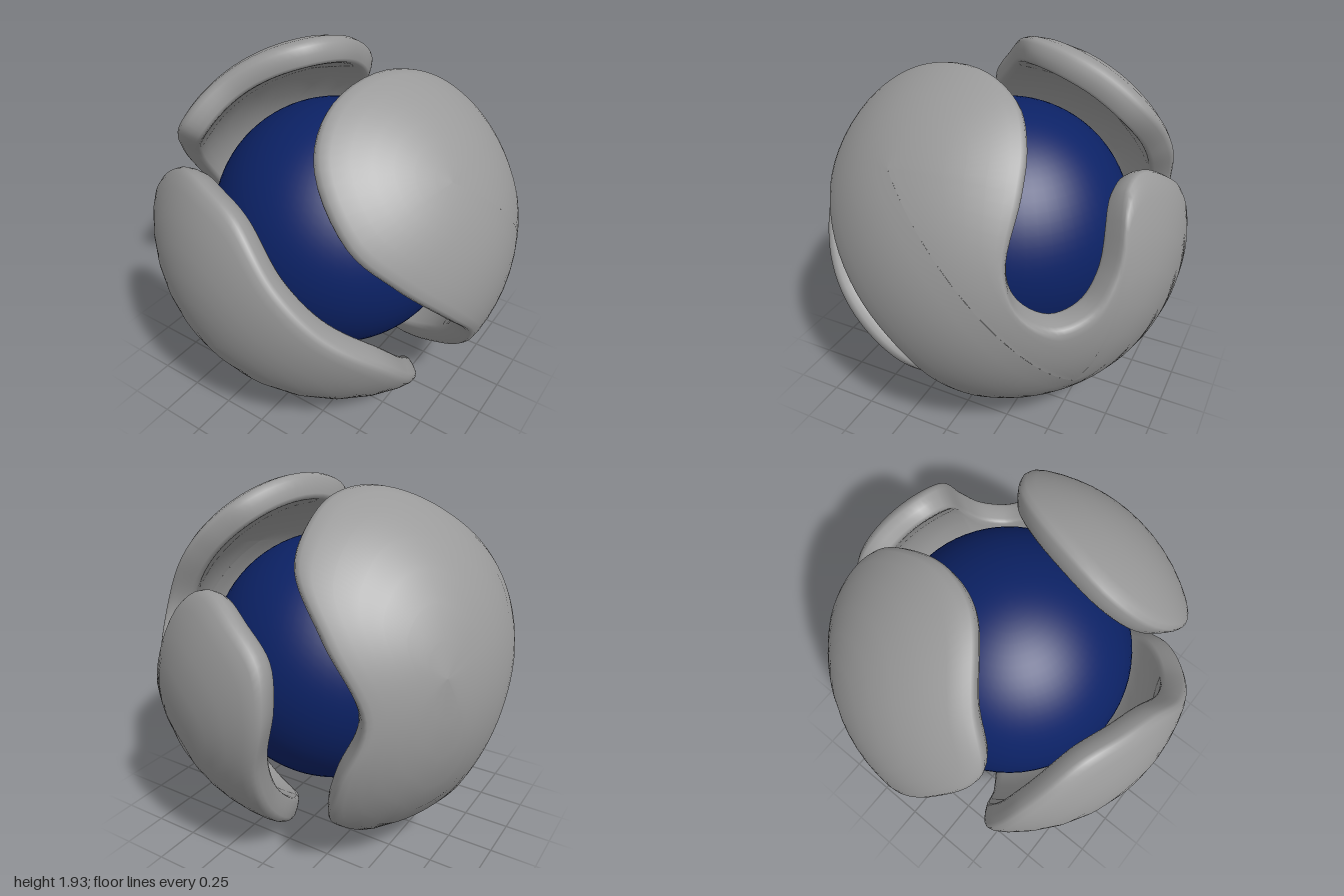
import * as THREE from 'three';

const CENTRE_Y = 0.985;
const SAMPLES = 144;

// Cross-section of a shell from its hub to the rim and back: [fraction, radius]
const SECTION = [
  [0, 1], [0.15, 1], [0.3, 1], [0.45, 1], [0.6, 1], [0.75, 1], [0.88, 1],
  [0.95, 0.996], [0.985, 0.983], [1, 0.962], [1.005, 0.92], [1.0, 0.875], [0.985, 0.857],
  [0.95, 0.85], [0.85, 0.85], [0.7, 0.85], [0.5, 0.85], [0.3, 0.85], [0.15, 0.85], [0, 0.85],
];

// Curved shell plate. The outline holds directions, counter-clockwise from outside,
// with an optional weight that slides its hub from hubA to hubB.
function shellPlate(name, outline, hubA, hubB, material) {
  const curve = new THREE.CatmullRomCurve3(
    outline.map(([x, y, z]) => new THREE.Vector3(x, y, z).normalize()), true, 'centripetal');
  const a = new THREE.Vector3(...hubA).normalize();
  const b = new THREE.Vector3(...hubB).normalize();
  const n = outline.length;
  const edges = [], hubs = [];
  for (let i = 0; i < SAMPLES; i++) {
    const u = i / SAMPLES;
    edges.push(curve.getPoint(u).normalize());
    const k = Math.floor(u * n);
    const w = THREE.MathUtils.lerp(outline[k][3] || 0, outline[(k + 1) % n][3] || 0, u * n - k);
    hubs.push(a.clone().lerp(b, w).normalize());
  }
  const positions = [], index = [];
  SECTION.forEach(([t, r], j) => {
    for (let i = 0; i < SAMPLES; i++) {
      // spherical interpolation from hub to edge
      const angle = hubs[i].angleTo(edges[i]);
      const p = hubs[i].clone().multiplyScalar(Math.sin((1 - t) * angle))
        .addScaledVector(edges[i], Math.sin(t * angle)).normalize().multiplyScalar(r);
      positions.push(p.x, p.y, p.z);
      if (j === SECTION.length - 1) continue;
      const i2 = (i + 1) % SAMPLES;
      const p0 = j * SAMPLES + i, p1 = p0 + SAMPLES;
      const q0 = j * SAMPLES + i2, q1 = q0 + SAMPLES;
      index.push(p0, p1, q1, p0, q1, q0);
    }
  });
  const geometry = new THREE.BufferGeometry();
  geometry.setAttribute('position', new THREE.Float32BufferAttribute(positions, 3));
  geometry.setIndex(index);
  geometry.computeVertexNormals();
  const mesh = new THREE.Mesh(geometry, material);
  mesh.name = name;
  mesh.position.y = CENTRE_Y;
  return mesh;
}

export function createModel() {
  const group = new THREE.Group();
  group.name = 'shelledSphere';
  const shell = new THREE.MeshStandardMaterial({ color: 0x9a9a9a, side: THREE.DoubleSide });
  shell.name = 'shell grey';
  const blue = new THREE.MeshStandardMaterial({ color: 0x0c2266 });
  blue.name = 'core blue';

  // Inner ball
  const core = new THREE.Mesh(new THREE.SphereGeometry(0.69, 64, 40), blue);
  core.name = 'core';
  core.position.set(0, 0.967, -0.01);
  group.add(core);

  // Front plate, wrapping under the bottom
  const front = [
    [-0.4, 0.55, 0.73], [-0.7, 0.32, 0.64], [-0.82, 0.07, 0.57], [-0.85, -0.13, 0.51],
    [-0.82, -0.33, 0.47], [-0.7, -0.58, 0.42], [-0.5, -0.82, 0.28], [-0.32, -0.94, 0.11],
    [0, -0.98, 0.15], [0.46, -0.87, 0.14], [0.7, -0.65, 0.24], [0.76, -0.45, 0.46],
    [0.72, -0.26, 0.63], [0.5, 0, 0.866], [0.3, 0.22, 0.928], [0.05, 0.48, 0.876],
    [-0.15, 0.55, 0.82],
  ];
  group.add(shellPlate('frontPlate', front, [-0.08, -0.3, 0.95], [-0.08, -0.3, 0.95], shell));

  // Right plate, from the top lobe down to the lower back
  const right = [
    [-0.23, 0.97, -0.03], [-0.14, 0.95, -0.25], [-0.14, 0.87, -0.47], [-0.2, 0.69, -0.69],
    [-0.42, 0.42, -0.8], [-0.62, 0.05, -0.78], [-0.5, -0.3, -0.81], [-0.39, -0.6, -0.7],
    [-0.4, -0.76, -0.49], [-0.36, -0.9, -0.26], [-0.46, -0.87, -0.13], [-0.69, -0.71, -0.08],
    [-0.88, -0.46, -0.12], [-0.99, -0.1, 0], [-0.92, 0.28, 0.26], [-0.73, 0.55, 0.42],
    [-0.55, 0.8, 0.24],
  ];
  group.add(shellPlate('rightPlate', right, [-0.8, 0.2, -0.42], [-0.8, 0.2, -0.42], shell));

  // Left plate, with a side lobe and a back lobe either side of a notch
  const left = [
    [0.77, -0.05, -0.63, 0], [0.87, 0.07, -0.48, 0.3], [0.87, 0.27, -0.42, 0.7],
    [0.7, 0.57, -0.42, 1], [0.56, 0.73, -0.38, 1], [0.41, 0.87, -0.27, 1],
    [0.28, 0.96, 0, 1], [0.22, 0.89, 0.38, 1], [0.3, 0.72, 0.62, 1], [0.55, 0.42, 0.72, 1],
    [0.75, 0.22, 0.62, 0.8], [0.91, -0.03, 0.4, 0.5], [0.94, -0.27, 0.17, 0.25],
    [0.85, -0.52, 0.02], [0.65, -0.74, -0.13], [0.3, -0.92, -0.27], [0.06, -0.92, -0.38],
    [-0.04, -0.82, -0.56], [-0.1, -0.55, -0.83], [-0.15, -0.25, -0.95], [-0.22, 0.06, -0.97],
    [-0.18, 0.3, -0.93], [0, 0.46, -0.88], [0.2, 0.55, -0.8], [0.35, 0.5, -0.79],
    [0.54, 0.17, -0.82], [0.65, 0, -0.76],
  ];
  group.add(shellPlate('leftPlate', left, [0.55, -0.5, -0.65], [0.72, 0.55, 0.2], shell));

  return group;
}
